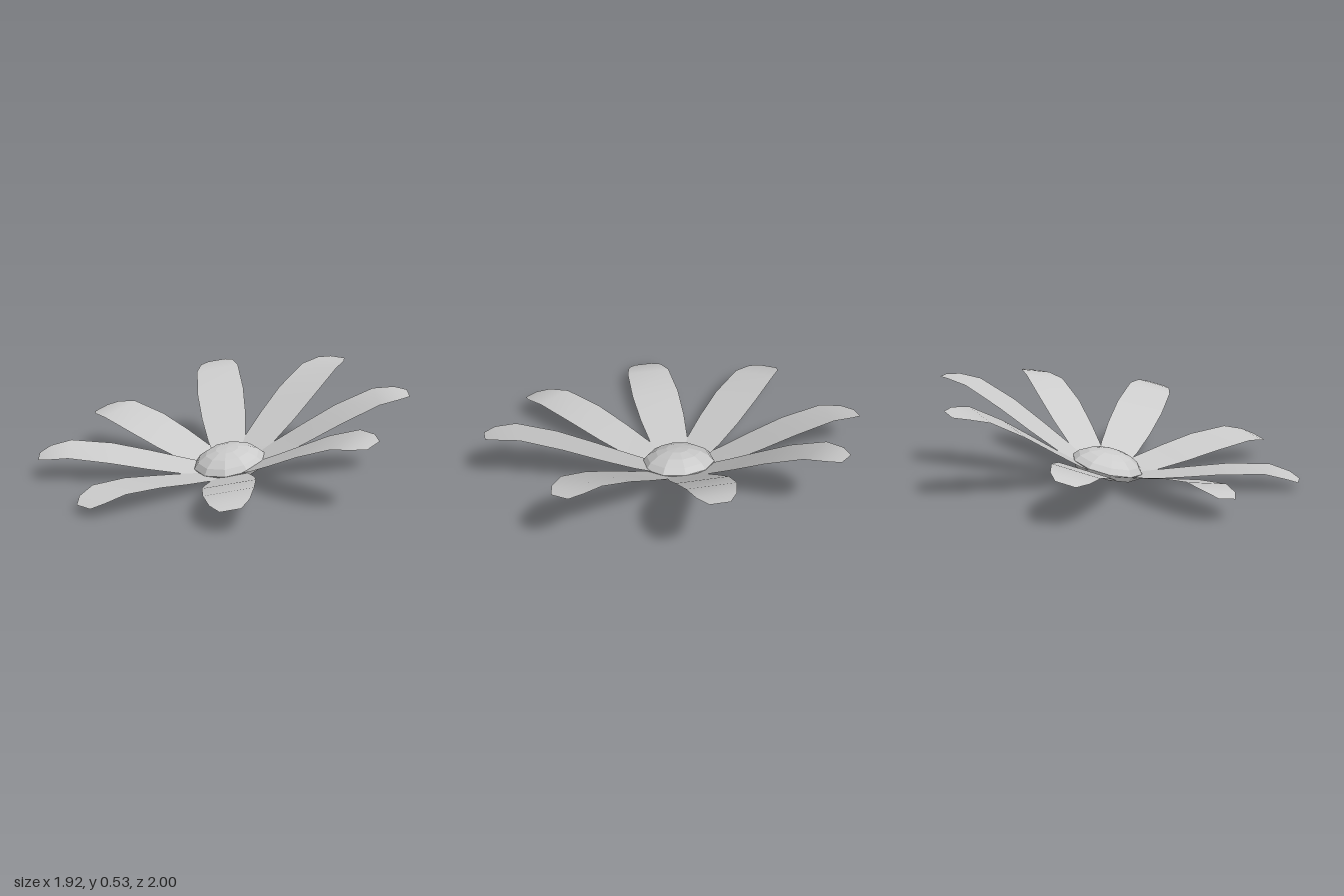
import * as THREE from 'three';

// Petal cross-sections: distance from the axis, height, half width
const SECTIONS = [
  [0.06, -0.05, 0.055], [0.15, -0.003, 0.085], [0.254, 0.033, 0.105],
  [0.42, 0.098, 0.124], [0.61, 0.173, 0.133], [0.82, 0.236, 0.122],
  [0.93, 0.236, 0.095], [0.99, 0.225, 0.05],
];

const petalMaterial = new THREE.MeshStandardMaterial({ color: 0xcccccc, side: THREE.DoubleSide });
const hubMaterial = new THREE.MeshStandardMaterial({
  color: 0xcccccc, side: THREE.DoubleSide, flatShading: true,
});

// Thin petal reaching along +x; lift raises or lowers it towards the tip
function petalGeometry(lift, stretch) {
  const positions = [];
  const index = [];
  SECTIONS.forEach(([r, y, w], i) => {
    for (const side of [1, -1]) positions.push(r * stretch, y + lift * r, side * w);
    if (i > 0) {
      const a = 2 * (i - 1);
      index.push(a, a + 2, a + 1, a + 1, a + 2, a + 3);
    }
  });
  const geometry = new THREE.BufferGeometry();
  geometry.setAttribute('position', new THREE.Float32BufferAttribute(positions, 3));
  geometry.setIndex(index);
  geometry.computeVertexNormals();
  return geometry;
}

export function createModel() {
  const model = new THREE.Group();
  model.name = 'flower';

  // The whole blossom leans, with the +x side raised
  const blossom = new THREE.Group();
  blossom.name = 'blossom';
  blossom.position.set(0.055, 0.062, 0);
  blossom.rotation.z = THREE.MathUtils.degToRad(14.1);
  model.add(blossom);

  // Eight petals; the front one sits higher and the back one lower
  for (let i = 0; i < 8; i++) {
    const lift = i === 6 ? 0.067 : i === 2 ? -0.067 : 0;
    const petal = new THREE.Mesh(petalGeometry(lift, lift ? 1.01 : 1), petalMaterial);
    petal.name = `petal${i + 1}`;
    petal.rotation.y = (i * Math.PI) / 4;
    blossom.add(petal);
  }

  // Ten-sided domed centre with a short rim, open underneath
  const profile = [
    [0.182, -0.02], [0.194, 0.012], [0.168, 0.042], [0.12, 0.07], [0.062, 0.086], [0, 0.09],
  ].map(([r, y]) => new THREE.Vector2(r, y));
  const hub = new THREE.Mesh(new THREE.LatheGeometry(profile, 10, Math.PI / 10), hubMaterial);
  hub.name = 'flowerCentre';
  blossom.add(hub);

  return model;
}
